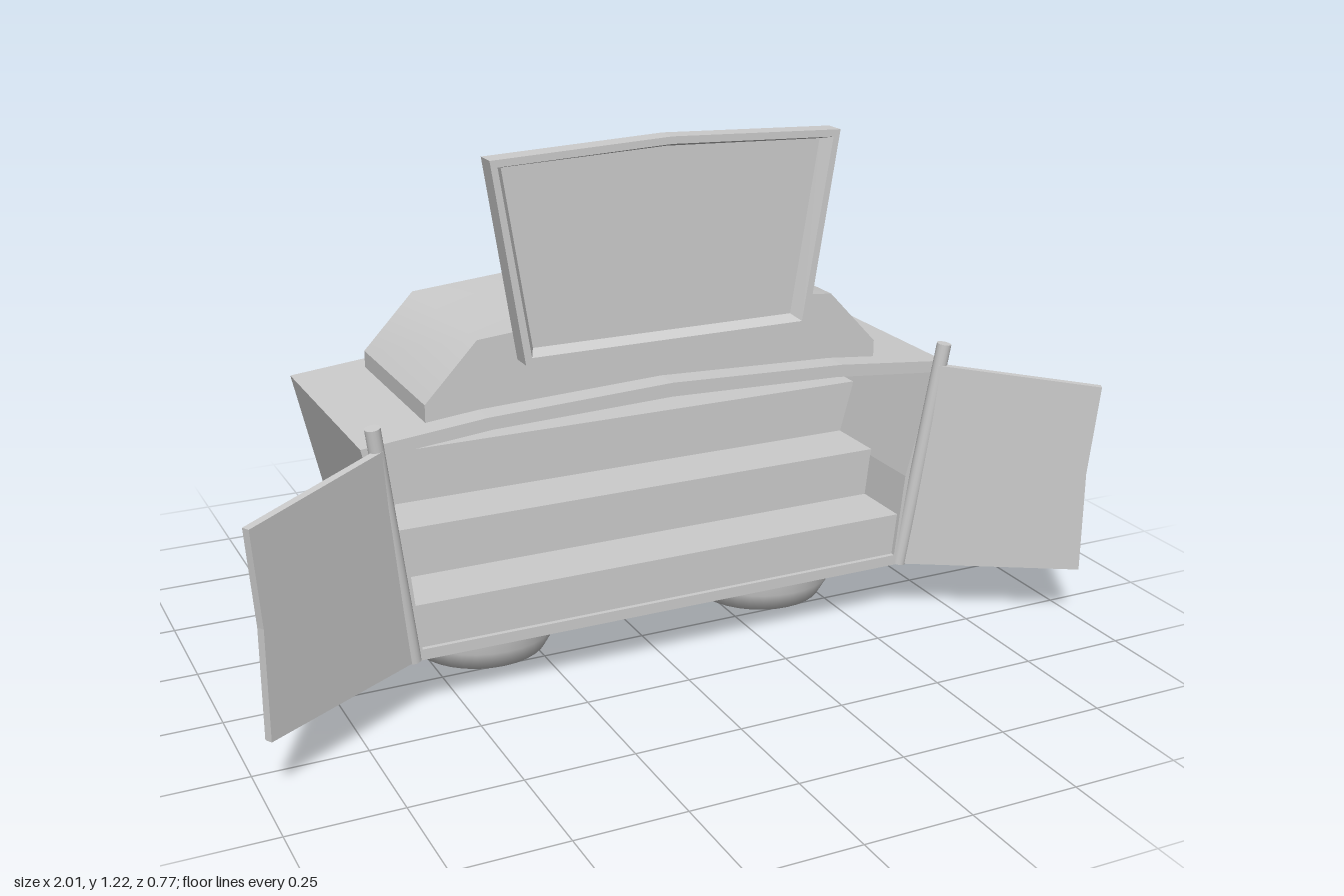
import * as THREE from 'three';
import { toCreasedNormals } from 'three/addons/utils/BufferGeometryUtils.js';

const material = new THREE.MeshStandardMaterial({ color: 0xcccccc });

// Full counter-clockwise outline from its right half, listed bottom to top (last point on x = 0).
const mirrored = (half) => [
  ...half,
  ...half.slice(0, -1).reverse().map(([x, y]) => [-x, y]),
];

// Flat-shaded solid through a chain of matching outlines, each [points, z], capped at both ends.
function loft(sections) {
  const pos = [];
  const put = (s, i) => pos.push(s[0][i][0], s[0][i][1], s[1]);
  const n = sections[0][0].length;
  for (let k = 0; k < sections.length - 1; k++) {
    const a = sections[k], b = sections[k + 1];
    for (let i = 0; i < n; i++) {
      const j = (i + 1) % n;
      put(a, i); put(a, j); put(b, j);
      put(a, i); put(b, j); put(b, i);
    }
  }
  const cap = (s, flip) => {
    const contour = s[0].map(([x, y]) => new THREE.Vector2(x, y));
    for (const f of THREE.ShapeUtils.triangulateShape(contour, [])) {
      (flip ? [f[2], f[1], f[0]] : f).forEach((i) => put(s, i));
    }
  };
  cap(sections[0], true);
  cap(sections[sections.length - 1], false);
  const g = new THREE.BufferGeometry();
  g.setAttribute('position', new THREE.Float32BufferAttribute(pos, 3));
  g.computeVertexNormals();
  return g;
}

// Outline extruded from z0 to z1.
function extrude(points, z0, z1) {
  const shape = new THREE.Shape(points.map(([x, y]) => new THREE.Vector2(x, y)));
  const g = new THREE.ExtrudeGeometry(shape, { depth: z1 - z0, bevelEnabled: false });
  return g.translate(0, 0, z0);
}

export function createModel() {
  const model = new THREE.Group();
  const add = (name, geometry) => {
    const mesh = new THREE.Mesh(geometry, material);
    mesh.name = name;
    model.add(mesh);
    return mesh;
  };

  // Body shell, hollow and open at the front
  const outer = mirrored([[0.62, 0.135], [0.645, 0.35], [0.71, 0.635], [0.43, 0.663], [0, 0.68]]);
  const inner = mirrored([[0.595, 0.16], [0.617, 0.36], [0.685, 0.61], [0.42, 0.635], [0, 0.648]]);
  add('body', loft([[outer, -0.385], [outer, 0.158], [inner, 0.158], [inner, -0.36]]));

  // Stepped shelves inside
  [[0.26, 0.607, 0.147], [0.375, 0.62, 0], [0.5, 0.654, -0.15]].forEach(([y, w, z], i) => {
    add(`shelf${i + 1}`, extrude([[0.595, 0.15], [w, y], [-w, y], [-0.595, 0.15]], -0.365, z));
  });

  // Raised roof with soft shoulders
  const roof = mirrored([[0.55, 0.65], [0.55, 0.69], [0.43, 0.817], [0, 0.855]]);
  add('raisedRoof', toCreasedNormals(extrude(roof, -0.325, 0.1), 0.745));

  // Upright lid with a recessed front
  const lid = mirrored([[0.34, 0.763], [0.41, 1.205], [0, 1.222]]);
  const rim = mirrored([[0.326, 0.778], [0.393, 1.19], [0, 1.206]]);
  const recess = mirrored([[0.312, 0.79], [0.375, 1.183], [0, 1.197]]);
  add('lid', loft([[lid, 0.1], [lid, 0.15], [rim, 0.15], [recess, 0.12]]));

  // Doors swung open on leaning hinge posts, and rounded feet
  const doorOutline = [[0, 0.135], [0.427, 0.135], [0.427, 0.38], [0.447, 0.595], [0.07, 0.638]];
  const footProfile = [[0, 0], [0.085, 0], [0.155, 0.02], [0.182, 0.068], [0.182, 0.15]]
    .map(([r, y]) => new THREE.Vector2(r, y));
  for (const [side, s] of [['left', 1], ['right', -1]]) {
    const door = add(`${side}Door`, extrude(doorOutline, -0.009, 0.009));
    door.position.set(s * 0.615, 0, 0.15);
    door.rotation.y = s > 0 ? -Math.PI / 6 : -Math.PI * 5 / 6;

    const foot = new THREE.Vector3(s * 0.613, 0.135, 0.15);
    const top = new THREE.Vector3(s * 0.69, 0.687, 0.183);
    const axis = top.clone().sub(foot);
    const post = add(`${side}HingePost`, new THREE.CylinderGeometry(0.017, 0.017, axis.length(), 16));
    post.position.copy(foot).add(top).multiplyScalar(0.5);
    post.quaternion.setFromUnitVectors(new THREE.Vector3(0, 1, 0), axis.normalize());

    add(`${side}Foot`, new THREE.LatheGeometry(footProfile, 32)).position.set(s * 0.368, 0, -0.11);
  }
  return model;
}
